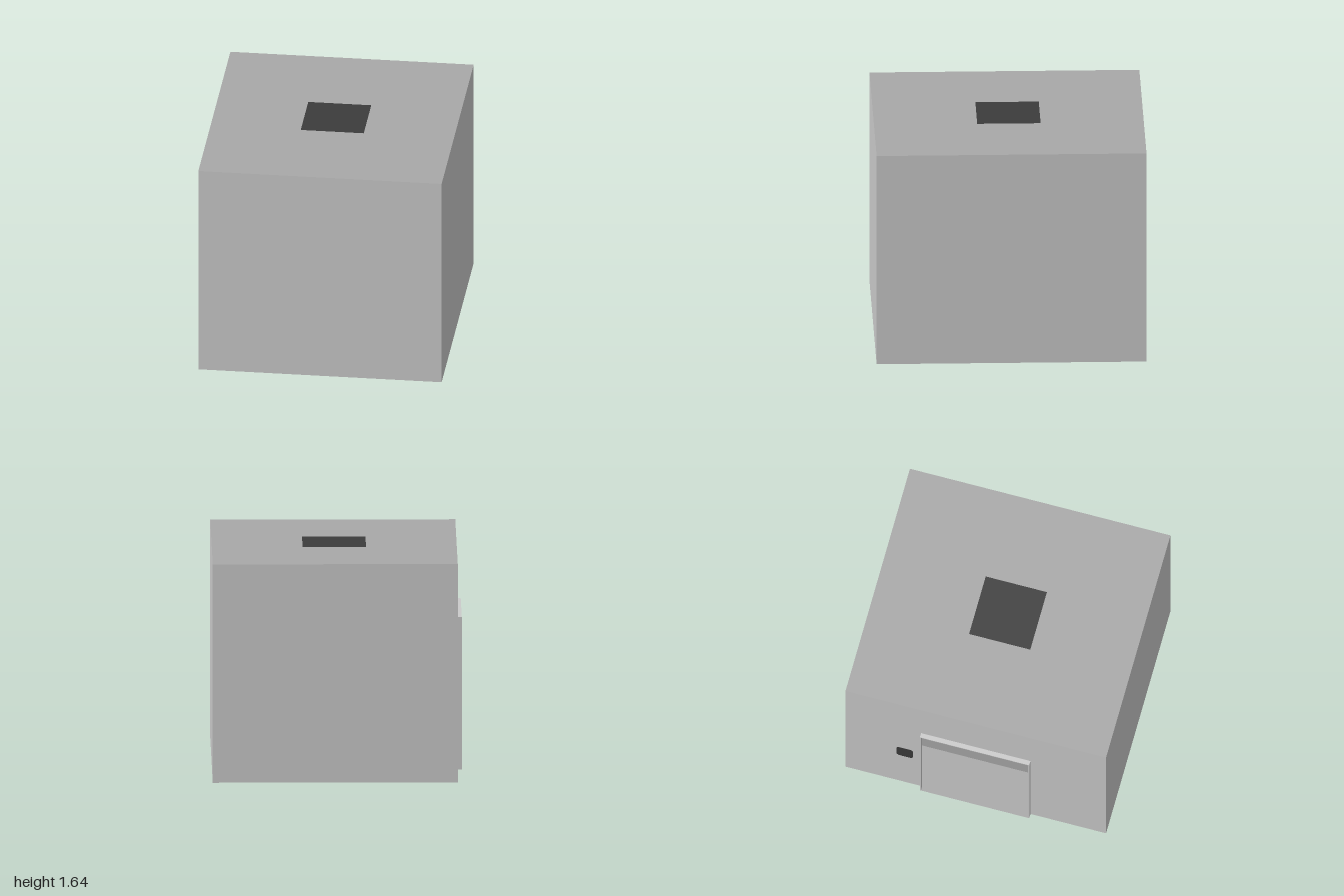
import * as THREE from 'three';

const X0 = -0.89, X1 = 0.925, H = 1.64, D = 1;      // room extents
const DOOR = 0.42, DOOR_H = 1.145, OUT = -0.925;    // doorway and its outer face

const material = (color) => new THREE.MeshStandardMaterial({ color, side: THREE.DoubleSide, flatShading: true });
const polygon = (points) => new THREE.Shape(points.map(([x, y]) => new THREE.Vector2(x, y)));

export function createModel() {
  const group = new THREE.Group();
  const wallMat = material(0xcccccc);
  const slabMat = material(0xa9a9a9);
  const darkMat = material(0x3c3c3c);

  const add = (name, geometry, mat, x = 0, y = 0, z = 0) => {
    const mesh = new THREE.Mesh(geometry, mat);
    mesh.name = name;
    mesh.position.set(x, y, z);
    group.add(mesh);
  };
  // Turns a drawing in (z, y) to face the doorway side
  const faceDoorSide = (geometry) => geometry.rotateY(-Math.PI / 2);

  const width = X1 - X0, cx = (X0 + X1) / 2;

  // Plain outer walls
  add('frontWall', new THREE.PlaneGeometry(width, H), wallMat, cx, H / 2, D);
  add('backWall', new THREE.PlaneGeometry(width, H).rotateY(Math.PI), wallMat, cx, H / 2, -D);
  add('leftWall', new THREE.PlaneGeometry(2 * D, H).rotateY(Math.PI / 2), wallMat, X1, H / 2, 0);

  // Wall with the doorway cut out
  const doorWall = polygon([[-D, 0], [-DOOR, 0], [-DOOR, DOOR_H], [DOOR, DOOR_H], [DOOR, 0], [D, 0], [D, H], [-D, H]]);
  add('doorWall', faceDoorSide(new THREE.ShapeGeometry(doorWall)), wallMat, X0);

  // Thin surround standing out from the wall
  const t = 0.008, i = DOOR - t;
  const surround = polygon([[-DOOR, 0], [-i, 0], [-i, DOOR_H - t], [i, DOOR_H - t], [i, 0], [DOOR, 0], [DOOR, DOOR_H], [-DOOR, DOOR_H]]);
  add('doorFrame', faceDoorSide(new THREE.ExtrudeGeometry(surround, { depth: X0 - OUT, bevelEnabled: false })), wallMat, X0);

  // Floor with a threshold tab, and the flat roof
  const floor = polygon([[X0, -D], [X1, -D], [X1, D], [X0, D], [X0, DOOR], [OUT, DOOR], [OUT, -DOOR], [X0, -DOOR]]);
  add('floor', new THREE.ShapeGeometry(floor).rotateX(Math.PI / 2), slabMat);
  add('roof', new THREE.PlaneGeometry(width, 2 * D).rotateX(-Math.PI / 2), slabMat, cx, H, 0);

  // Inner partition just behind the doorway
  add('innerWall', faceDoorSide(new THREE.PlaneGeometry(2 * D, H)), slabMat, -0.58, H / 2, 0);

  // Dark square hatch on the roof
  add('roofHatch', new THREE.PlaneGeometry(0.47, 0.47).rotateX(-Math.PI / 2), darkMat, cx, H + 0.002, 0);

  // Control plate with clipped corners beside the door
  const w = 0.065, h = 0.085, c = 0.02;
  const plate = polygon([[-w + c, -h], [w - c, -h], [w, -h + c], [w, h - c], [w - c, h], [-w + c, h], [-w, h - c], [-w, -h + c]]);
  add('controlPlate', faceDoorSide(new THREE.ShapeGeometry(plate)), darkMat, X0 - 0.002, 0.64, -0.545);

  return group;
}
